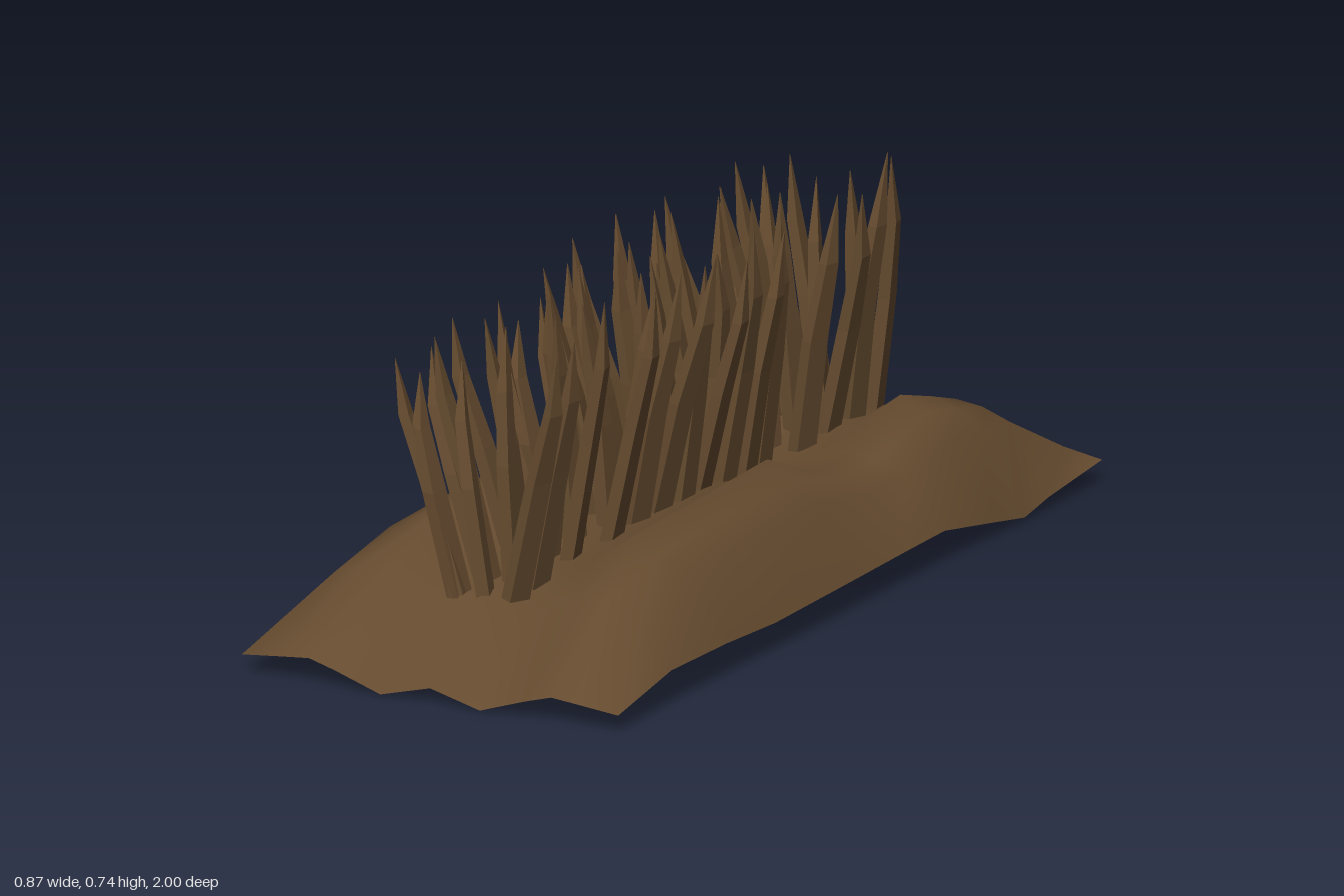
import * as THREE from 'three';
import { mergeGeometries } from 'three/addons/utils/BufferGeometryUtils.js';

// Half cross-sections of the ground: heights at these x columns, mirrored to -x
const columns = [0, 0.115, 0.22, 0.28, 0.345, 0.435];
const sections = [
  { z: -1.0, y: [0.04, 0.036, 0.05, 0.062, 0.06, 0.045] },
  { z: -0.78, y: [0.16, 0.165, 0.2, 0.193, 0.17, 0.025] },
  { z: -0.68, y: [0.165, 0.175, 0.232, 0.214, 0.178, 0.008] },
  { z: -0.55, y: [0.165, 0.19, 0.27, 0.24, 0.195, 0.032] },
  { z: -0.35, y: [0.155, 0.17, 0.205, 0.197, 0.175, 0.068] },
  { z: -0.2, y: [0.155, 0.17, 0.2, 0.195, 0.175, 0.067] },
  { z: 0.0, y: [0.17, 0.21, 0.28, 0.245, 0.205, 0.064] },
  { z: 0.35, y: [0.175, 0.205, 0.268, 0.24, 0.205, 0.06] },
  { z: 0.55, y: [0.172, 0.19, 0.26, 0.235, 0.2, 0.07] },
  { z: 0.78, y: [0.17, 0.147, 0.19, 0.19, 0.165, 0.074] },
  { z: 1.0, y: [0.03, 0, 0.035, 0.052, 0.046, 0.037] },
];

function groundGeometry() {
  const positions = [], index = [];
  const n = columns.length - 1, w = 2 * n + 1;
  sections.forEach(({ z, y }, r) => {
    for (let i = -n; i <= n; i++) {
      positions.push(Math.sign(i) * columns[Math.abs(i)], y[Math.abs(i)], z);
    }
    if (r === 0) return;
    for (let i = 0; i < w - 1; i++) {
      const a = (r - 1) * w + i, b = a + 1, c = a + w, d = c + 1;
      // mirrored diagonals keep both halves alike
      if (i < n) index.push(a, c, b, b, c, d);
      else index.push(a, c, d, a, d, b);
    }
  });
  const g = new THREE.BufferGeometry();
  g.setAttribute('position', new THREE.Float32BufferAttribute(positions, 3));
  g.setIndex(index);
  g.computeVertexNormals();
  return g;
}

// Four-sided blade that leans out, bends and narrows to a long point
const levels = [
  { t: 0, lean: 0, bend: 0, wx: 0.014, wz: 0.027 },
  { t: 0.48, lean: 0.52, bend: -0.25, wx: 0.013, wz: 0.024 },
  { t: 0.76, lean: 0.87, bend: 0.2, wx: 0.011, wz: 0.017 },
  { t: 1, lean: 1, bend: 1, wx: 0.0004, wz: 0.0006 },
];
function bladeGeometry({ baseX, tipX, z, baseY, tipY, sway, yaw }) {
  const g = new THREE.CylinderGeometry(1, 1, 1, 4, 3, false, Math.PI / 4);
  const p = g.attributes.position;
  const c = Math.cos(yaw), s = Math.sin(yaw);
  for (let i = 0; i < p.count; i++) {
    const l = levels[Math.round((p.getY(i) + 0.5) * 3)];
    const dx = p.getX(i) * Math.SQRT2 * l.wx, dz = p.getZ(i) * Math.SQRT2 * l.wz;
    p.setXYZ(i,
      baseX + (tipX - baseX) * l.lean + dx * c + dz * s,
      baseY + (tipY - baseY) * l.t,
      z + sway * l.bend - dx * s + dz * c);
  }
  return g;
}

export function createModel() {
  const group = new THREE.Group();
  const earth = new THREE.MeshStandardMaterial({ color: 0x654b2f, side: THREE.DoubleSide });
  earth.name = 'brown earth';
  const straw = new THREE.MeshStandardMaterial({ color: 0x654b2f, flatShading: true });
  straw.name = 'brown stalk';

  const add = (name, geometry, material) => {
    const mesh = new THREE.Mesh(geometry, material);
    mesh.name = name;
    group.add(mesh);
  };
  add('groundMound', groundGeometry(), earth);

  let seed = 7;
  const rand = (a, b) => {
    seed = (seed * 16807) % 2147483647;
    return a + (b - a) * (seed / 2147483647);
  };

  // Tufts along the mound: z, tip x of the right stalk, tip x of the left stalk
  const tufts = [
    [-0.76, -0.22, 0.10], [-0.65, -0.21, 0.12], [-0.54, -0.20, 0.155],
    [-0.42, -0.25, 0.13], [-0.29, -0.22, 0.10], [-0.19, -0.25, 0.14],
    [-0.11, -0.15, 0.14], [-0.02, -0.24, 0.165], [0.07, -0.21, 0.12],
    [0.14, -0.20, 0.17], [0.24, -0.17, 0.14], [0.36, -0.20, 0.175],
    [0.5, -0.23, 0.13], [0.65, -0.20, 0.14], [0.75, -0.21, 0.155],
  ];
  const rows = { rightStalks: [], innerRightStalks: [], middleStalks: [], leftStalks: [] };
  for (const [z, rightTip, leftTip] of tufts) {
    const grow = (row, baseX, tipX, low, high) => rows[row].push(bladeGeometry({
      baseX: baseX + rand(-0.012, 0.012), tipX,
      z: z + rand(-0.01, 0.01),
      baseY: 0.133 + 0.025 * z,
      tipY: rand(low, high),
      sway: rand(-0.035, 0.035),
      yaw: rand(-0.35, 0.35),
    }));
    grow('rightStalks', -0.075, rightTip, 0.61, 0.68);
    grow('innerRightStalks', -0.062, rand(-0.18, -0.12), 0.6, 0.69);
    grow('middleStalks', -0.01, rand(-0.075, 0.03), 0.63, 0.7);
    grow('leftStalks', 0.048, leftTip, 0.68, 0.74);
  }
  for (const [name, blades] of Object.entries(rows)) {
    add(name, mergeGeometries(blades), straw);
  }
  return group;
}
